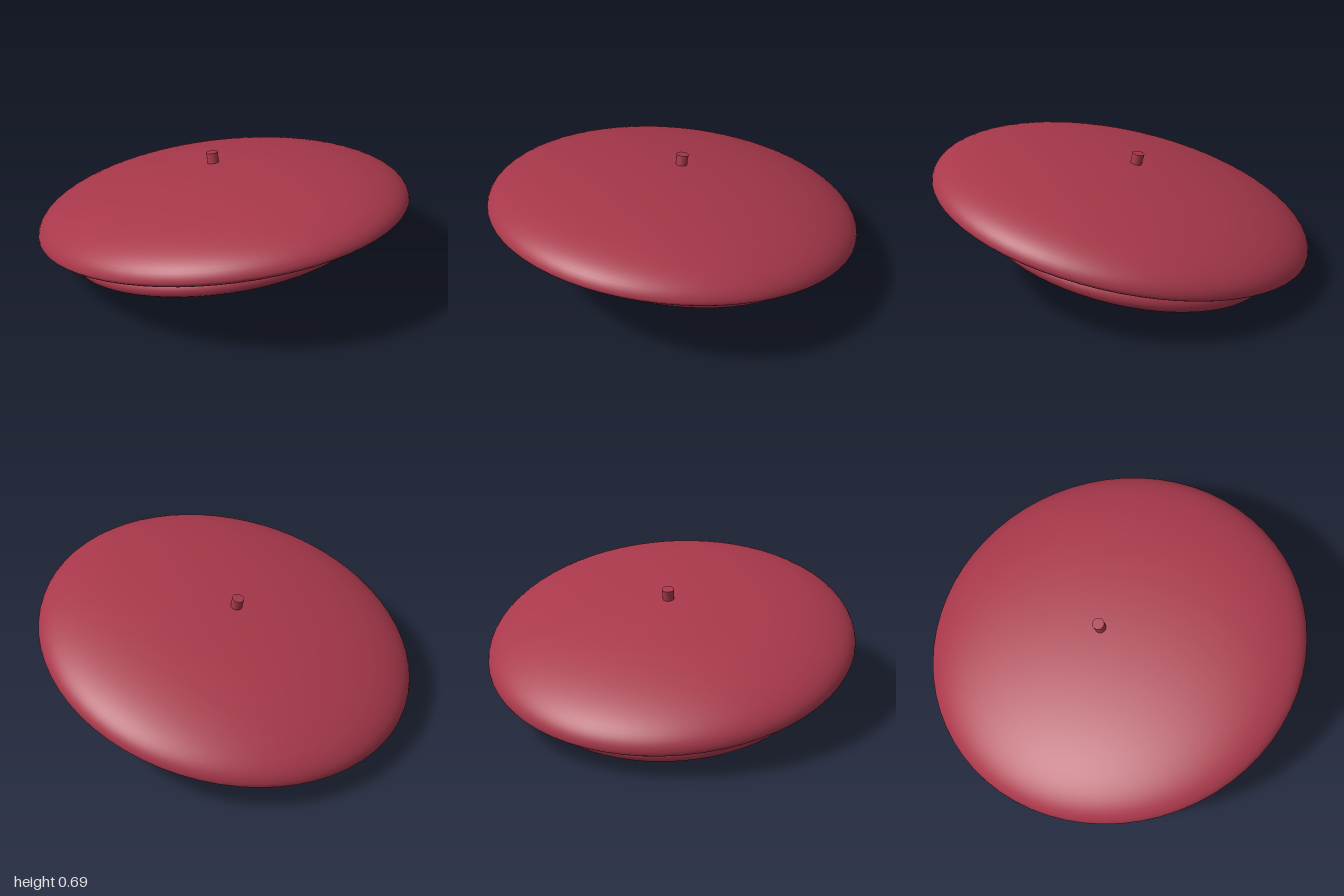
import * as THREE from 'three';

const TILT = THREE.MathUtils.degToRad(12);

export function createModel() {
  const model = new THREE.Group();
  model.name = 'beret';
  const redFelt = new THREE.MeshStandardMaterial({ color: 0xa8384b, side: THREE.DoubleSide });
  redFelt.name = 'redFelt';

  // Every part shares the same sideways tilt
  const add = (name, geometry, x, y) => {
    const mesh = new THREE.Mesh(geometry, redFelt);
    mesh.name = name;
    mesh.position.set(x, y, 0);
    mesh.rotation.z = TILT;
    model.add(mesh);
    return mesh;
  };

  // Crown: shallow dome over a flatter underside, open in the middle
  const domeHeight = 0.262, underDepth = 0.122, holeRadius = 0.57;
  const start = -Math.acos(holeRadius);
  const steps = 40;
  const profile = [];
  for (let i = 0; i <= steps; i++) {
    const a = THREE.MathUtils.lerp(start, Math.PI / 2, i / steps);
    const r = i === steps ? 0 : Math.cos(a);
    profile.push(new THREE.Vector2(r, Math.sin(a) * (a < 0 ? underDepth : domeHeight)));
  }
  const crown = new THREE.LatheGeometry(profile, 64);
  crown.scale(1.02, 1, 0.974);
  add('crown', crown, 0, 0.354);

  // Head band: rounded ring hanging just below the crown
  const band = new THREE.TorusGeometry(0.753, 0.05, 16, 64);
  band.rotateX(Math.PI / 2);
  add('headBand', band, -0.03, 0.207);

  // Stem: little stub through the top of the crown
  add('stem', new THREE.CylinderGeometry(0.032, 0.029, 0.1, 16), -0.075, 0.612);

  return model;
}
